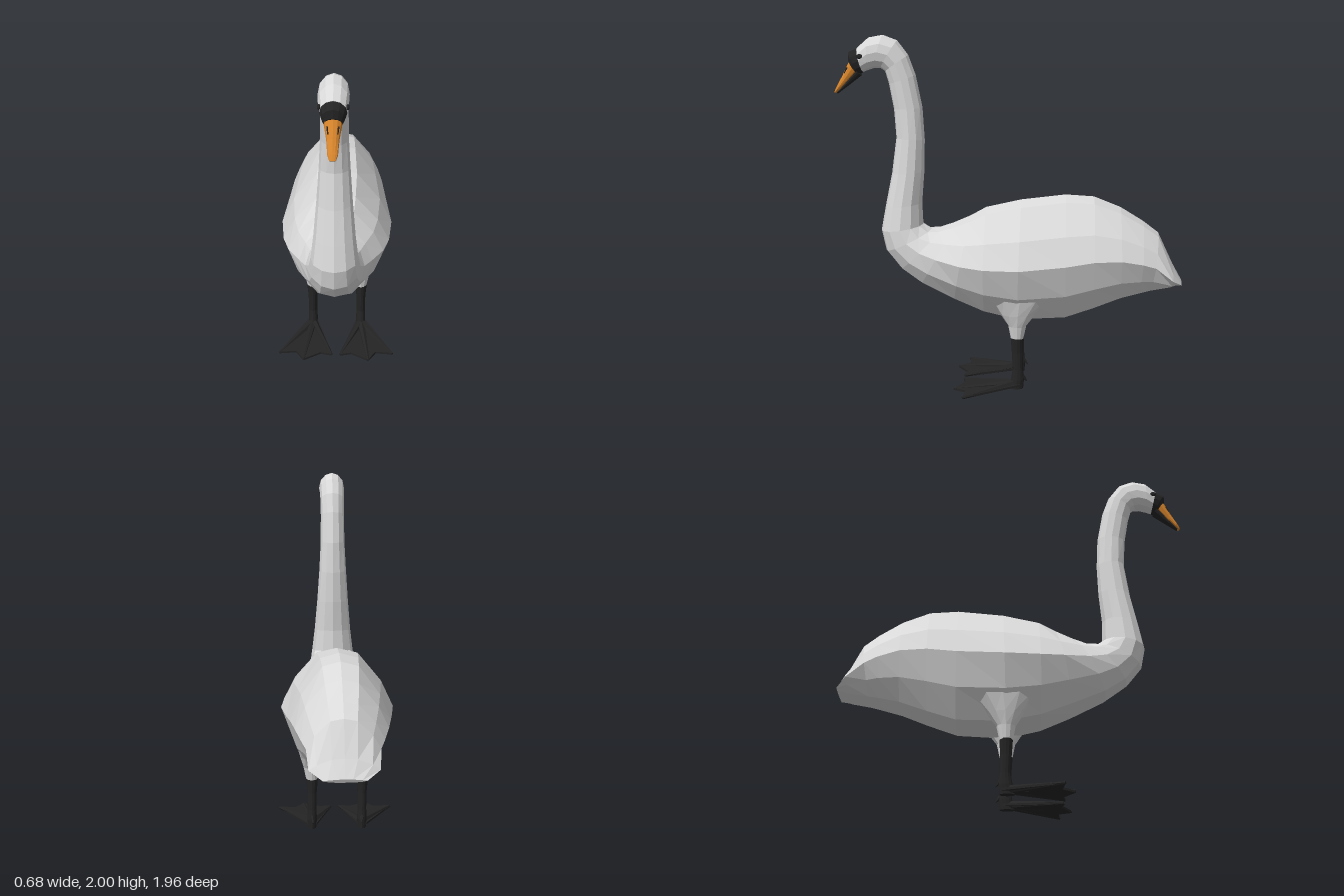
import * as THREE from 'three';

const mat = (name, color) => {
  const m = new THREE.MeshStandardMaterial({ color });
  m.name = name;
  return m;
};

// Facet a geometry and wrap it in a named mesh
function part(name, geometry, material) {
  const g = geometry.index ? geometry.toNonIndexed() : geometry;
  g.computeVertexNormals();
  const mesh = new THREE.Mesh(g, material);
  mesh.name = name;
  return mesh;
}

// Half cross-sections: [distance from back to front edge, share of half width]
const ROUND = [[0, 0], [0.07, 0.5], [0.25, 0.87], [0.5, 1], [0.75, 0.87], [0.93, 0.5], [1, 0]];
const BODY = [[0, 0], [0.04, 0.36], [0.28, 0.78], [0.5, 1], [0.76, 0.8], [0.97, 0.45], [1, 0]];

// One ring spanning a back/top edge and a front/bottom edge; mix 0 = round, 1 = body
function ring([zA, yA, zB, yB, w, mix = 0, cx = 0]) {
  const half = ROUND.map(([t, f], i) => {
    const u = t + (BODY[i][0] - t) * mix;
    const x = w * (f + (BODY[i][1] - f) * mix);
    return [x, yA + (yB - yA) * u, zA + (zB - zA) * u];
  });
  const mirrored = half.slice(1, -1).reverse().map(([x, y, z]) => [-x, y, z]);
  return [...half, ...mirrored].map(([x, y, z]) => [x + cx, y, z]);
}

// Closed skin through a row of rings
function loft(rows) {
  const rings = rows.map(ring);
  const n = rings[0].length;
  const pos = rings.flat(2);
  const index = [];
  for (let r = 0; r < rings.length - 1; r++) {
    for (let i = 0; i < n; i++) {
      const a = r * n + i, b = r * n + (i + 1) % n;
      index.push(a, a + n, b, b, a + n, b + n);
    }
  }
  const last = (rings.length - 1) * n;
  for (let i = 1; i < n - 1; i++) {
    index.push(0, i, i + 1, last, last + i + 1, last + i);
  }
  const g = new THREE.BufferGeometry();
  g.setAttribute('position', new THREE.Float32BufferAttribute(pos, 3));
  g.setIndex(index);
  return g;
}

// Tapered rod between two points
function rod(from, to, r0, r1) {
  const a = new THREE.Vector3(...from), b = new THREE.Vector3(...to);
  const d = b.clone().sub(a);
  const g = new THREE.CylinderGeometry(r1, r0, d.length(), 6);
  g.applyQuaternion(new THREE.Quaternion().setFromUnitVectors(new THREE.Vector3(0, 1, 0), d.normalize()));
  return g.translate(...a.add(b).multiplyScalar(0.5).toArray());
}

export function createModel() {
  const white = mat('white feathers', 0xdadada);
  const black = mat('black skin', 0x242424);
  const orange = mat('orange bill', 0xd9862c);
  const swan = new THREE.Group();
  swan.name = 'swan';

  // Tail and body, from the tail tip forward to the breast
  const body = [
    [-0.98, 0.625, -0.97, 0.605, 0.11, 1],
    [-0.93, 0.715, -0.91, 0.59, 0.18, 1],
    [-0.845, 0.895, -0.8, 0.565, 0.19, 1],
    [-0.76, 0.96, -0.74, 0.55, 0.215, 1],
    [-0.63, 1.04, -0.63, 0.52, 0.245, 1],
    [-0.48, 1.1, -0.48, 0.46, 0.268, 1],
    [-0.32, 1.11, -0.32, 0.405, 0.288, 1],
    [-0.07, 1.08, -0.05, 0.395, 0.318, 1],
    [0.13, 1.035, 0.14, 0.44, 0.3, 1],
    [0.22, 0.985, 0.31, 0.51, 0.265, 0.9],
    [0.31, 0.945, 0.5, 0.595, 0.2, 0.6],
    [0.38, 0.918, 0.62, 0.675, 0.16, 0.3],
    [0.44, 0.908, 0.705, 0.78, 0.138],
  ];
  // Neck and head, from the breast up and over
  const neck = [
    [0.49, 0.935, 0.73, 0.9, 0.126],
    [0.495, 1.06, 0.703, 1.04, 0.11],
    [0.48, 1.24, 0.663, 1.23, 0.094],
    [0.475, 1.42, 0.635, 1.43, 0.081],
    [0.485, 1.6, 0.645, 1.59, 0.072],
    [0.52, 1.78, 0.67, 1.73, 0.07],
    [0.56, 1.89, 0.69, 1.8, 0.071],
    [0.62, 1.97, 0.715, 1.817, 0.074],
    [0.7, 2.0, 0.75, 1.817, 0.076],
    [0.78, 1.985, 0.785, 1.806, 0.074],
    [0.845, 1.928, 0.815, 1.795, 0.065],
  ];
  swan.add(part('bodyNeckAndHead', loft([...body, ...neck]), white));

  // Black mask around the bill base
  swan.add(part('mask', loft([
    [0.845, 1.926, 0.813, 1.793, 0.066],
    [0.895, 1.905, 0.83, 1.785, 0.056],
    [0.895, 1.86, 0.84, 1.78, 0.044],
  ]), black));

  // Bill: orange upper half, black lower half
  swan.add(part('upperBill', loft([
    [0.885, 1.866, 0.835, 1.79, 0.046],
    [0.93, 1.775, 0.893, 1.742, 0.031],
    [0.965, 1.712, 0.948, 1.692, 0.025],
    [0.978, 1.685, 0.968, 1.677, 0.016],
  ]), orange));
  swan.add(part('lowerBill', loft([
    [0.86, 1.815, 0.82, 1.778, 0.038],
    [0.905, 1.752, 0.887, 1.727, 0.025],
    [0.964, 1.684, 0.957, 1.675, 0.013],
  ]), black));

  for (const s of [1, -1]) {
    const side = s > 0 ? 'left' : 'right';

    // Eye with a dark patch reaching to the mask
    const eye = new THREE.IcosahedronGeometry(0.014, 1).scale(0.6, 1, 1.3);
    swan.add(part(side + 'Eye', eye.translate(s * 0.068, 1.885, 0.822), black));
    swan.add(part(side + 'Nostril', rod([s * 0.027, 1.822, 0.898], [s * 0.023, 1.79, 0.915], 0.004, 0.003), black));

    // Feathered thigh
    swan.add(part(side + 'Thigh', loft([
      [-0.086, 0.305, -0.014, 0.305, 0.034, 0, s * 0.145],
      [-0.102, 0.38, 0.0, 0.38, 0.046, 0, s * 0.148],
      [-0.155, 0.45, 0.045, 0.45, 0.063, 0, s * 0.152],
      [-0.26, 0.56, 0.12, 0.56, 0.078, 0, s * 0.166],
    ]), white));

    // Shank
    swan.add(part(side + 'Shank', loft([
      [-0.085, 0.006, 0.0, 0.006, 0.025, 0, s * 0.145],
      [-0.09, 0.06, -0.015, 0.06, 0.028, 0, s * 0.145],
      [-0.084, 0.12, -0.026, 0.12, 0.025, 0, s * 0.145],
      [-0.082, 0.22, -0.02, 0.22, 0.027, 0, s * 0.145],
      [-0.085, 0.308, -0.014, 0.308, 0.035, 0, s * 0.145],
    ]), black));

    // Web, sloping down from the ankle to the toe tips
    const outline = [[0.12, -0.07], [0.035, 0.22], [0.025, 0.265], [0.09, 0.25], [0.19, 0.31],
      [0.235, 0.24], [0.335, 0.25], [0.285, 0.15], [0.17, -0.07]];
    const shape = new THREE.Shape(outline.map(([x, z]) => new THREE.Vector2(s * x, z)));
    const web = new THREE.ExtrudeGeometry(shape, { depth: 0.012, bevelEnabled: false }).rotateX(Math.PI / 2);
    const p = web.attributes.position;
    for (let i = 0; i < p.count; i++) p.setY(i, p.getY(i) + 0.017 + (0.31 - p.getZ(i)) * 0.05);
    swan.add(part(side + 'Web', web, black));

    // Toes and hind spur
    for (const [x, z] of [[0.027, 0.26], [0.19, 0.31], [0.333, 0.25]]) {
      swan.add(part(side + 'Toe', rod([s * 0.145, 0.034, -0.04], [s * x, 0.014, z], 0.024, 0.008), black));
    }
    swan.add(part(side + 'HindToe', rod([s * 0.145, 0.085, -0.075], [s * 0.14, 0.05, -0.105], 0.014, 0.004), black));
  }
  return swan;
}
